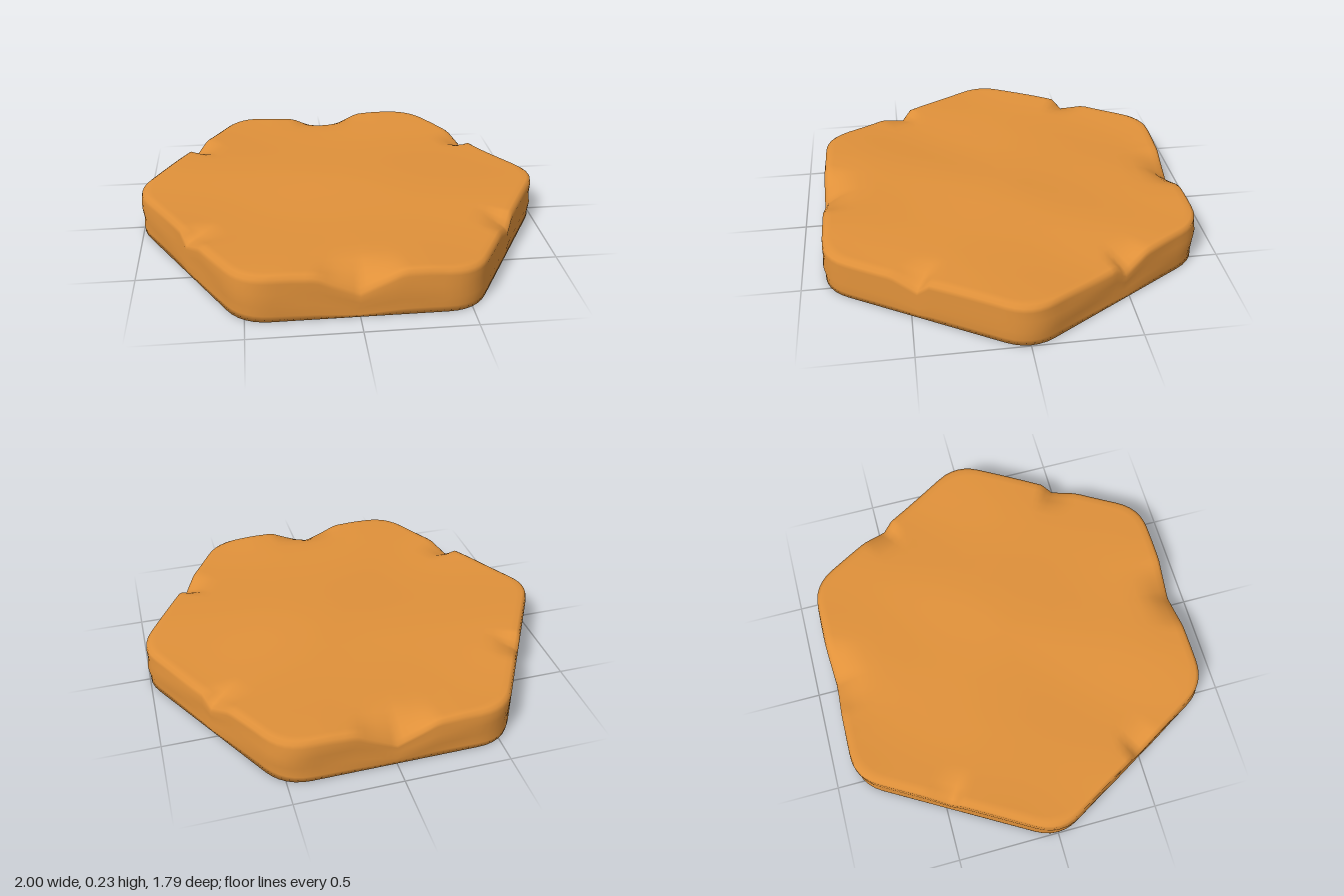
import * as THREE from 'three';

const APOTHEM = 0.895;
const HALF_STRAIGHT = 0.39;
const HALF_SIDE = APOTHEM * Math.tan(Math.PI / 6);
const clamp01 = (v) => Math.max(0, Math.min(1, v));

// Position on side k, at distance s along it from the side's middle
function sidePoint(k, s) {
  const a = (k * Math.PI) / 3;
  return new THREE.Vector2(
    APOTHEM * Math.sin(a) + s * Math.cos(a),
    APOTHEM * Math.cos(a) - s * Math.sin(a)
  );
}

// Hexagon with rounded corners, counterclockwise seen from above
function makeOutline() {
  const points = [];
  for (let k = 0; k < 6; k++) {
    for (let i = -13; i <= 13; i++) points.push(sidePoint(k, i * 0.03));
    const corner = new THREE.QuadraticBezierCurve(
      sidePoint(k, HALF_STRAIGHT), sidePoint(k, HALF_SIDE), sidePoint(k + 1, -HALF_STRAIGHT)
    );
    for (let i = 1; i < 6; i++) points.push(corner.getPoint(i / 6));
  }
  return points;
}

// Gently uneven top, with a chipped notch in the middle of every side
function topHeight(x, z) {
  let y = 0.218
    + 0.006 * Math.sin(5.1 * x + 1.3 * z + 0.6)
    + 0.005 * Math.sin(6.3 * z - 2.2 * x + 1.9)
    + 0.003 * Math.sin(9 * x + 7 * z);
  for (let k = 0; k < 6; k++) {
    const a = (k * Math.PI) / 3;
    const inward = APOTHEM - (x * Math.sin(a) + z * Math.cos(a));
    const s = x * Math.cos(a) - z * Math.sin(a);
    if (k % 3 === 0) {
      // Broad chip at front and back
      const across = clamp01(1 - Math.abs(s) / 0.19);
      y -= 0.10 * across * clamp01(1 - inward / 0.17) ** 1.5;
      y -= 0.012 * clamp01(1.6 - Math.abs(s) / 0.19) * clamp01(1 - inward / 0.26);
    } else {
      // Sharp notch, steeper towards the x corner
      const towardX = (k === 1 || k === 4 ? 1 : -1) * s + 0.03;
      const across = clamp01(1 - Math.abs(towardX) / (towardX > 0 ? 0.06 : 0.13));
      y -= 0.06 * across * clamp01(1 - inward / 0.14);
    }
  }
  return y;
}

// Rings from the base up the wall and in over the top: [outline scale, share of height]
const RINGS = [
  [0.5, 0], [0.994, 0], [0.998, 0.12], [1, 0.35], [1, 0.62], [0.998, 0.85], [0.99, 0.95], [0.972, 1],
  [0.94, 1], [0.9, 1], [0.85, 1], [0.79, 1], [0.7, 1], [0.58, 1], [0.45, 1], [0.3, 1], [0.15, 1],
];

function makeSlabGeometry() {
  const outline = makeOutline();
  const n = outline.length;
  const positions = [0, 0, 0];
  const index = [];
  RINGS.forEach(([scale, share]) => {
    for (const p of outline) {
      // Shallow hollows in the wall
      const wall = share > 0.1 && share < 0.9;
      const hollow = wall ? 0.004 * (1 + Math.sin(8 * p.x + 5 * p.y + 9 * share)) : 0;
      const x = p.x * (scale - hollow);
      const z = p.y * (scale - hollow);
      positions.push(x, share * topHeight(x, z), z);
    }
  });
  positions.push(0, topHeight(0, 0), 0);
  const last = positions.length / 3 - 1;
  const at = (r, i) => 1 + r * n + (i % n);
  for (let i = 0; i < n; i++) {
    index.push(0, at(0, i + 1), at(0, i));
    for (let r = 0; r < RINGS.length - 1; r++) {
      const a = at(r, i), b = at(r, i + 1), c = at(r + 1, i + 1), d = at(r + 1, i);
      index.push(a, b, c, a, c, d);
    }
    index.push(at(RINGS.length - 1, i), at(RINGS.length - 1, i + 1), last);
  }
  const geometry = new THREE.BufferGeometry();
  geometry.setAttribute('position', new THREE.Float32BufferAttribute(positions, 3));
  geometry.setIndex(index);
  geometry.computeVertexNormals();
  return geometry;
}

export function createModel() {
  const group = new THREE.Group();
  group.name = 'hexagonalStoneTile';
  const ochre = new THREE.MeshStandardMaterial({ color: 0xe0913a });
  ochre.name = 'ochre stone';
  const slab = new THREE.Mesh(makeSlabGeometry(), ochre);
  slab.name = 'stoneSlab';
  group.add(slab);
  return group;
}
